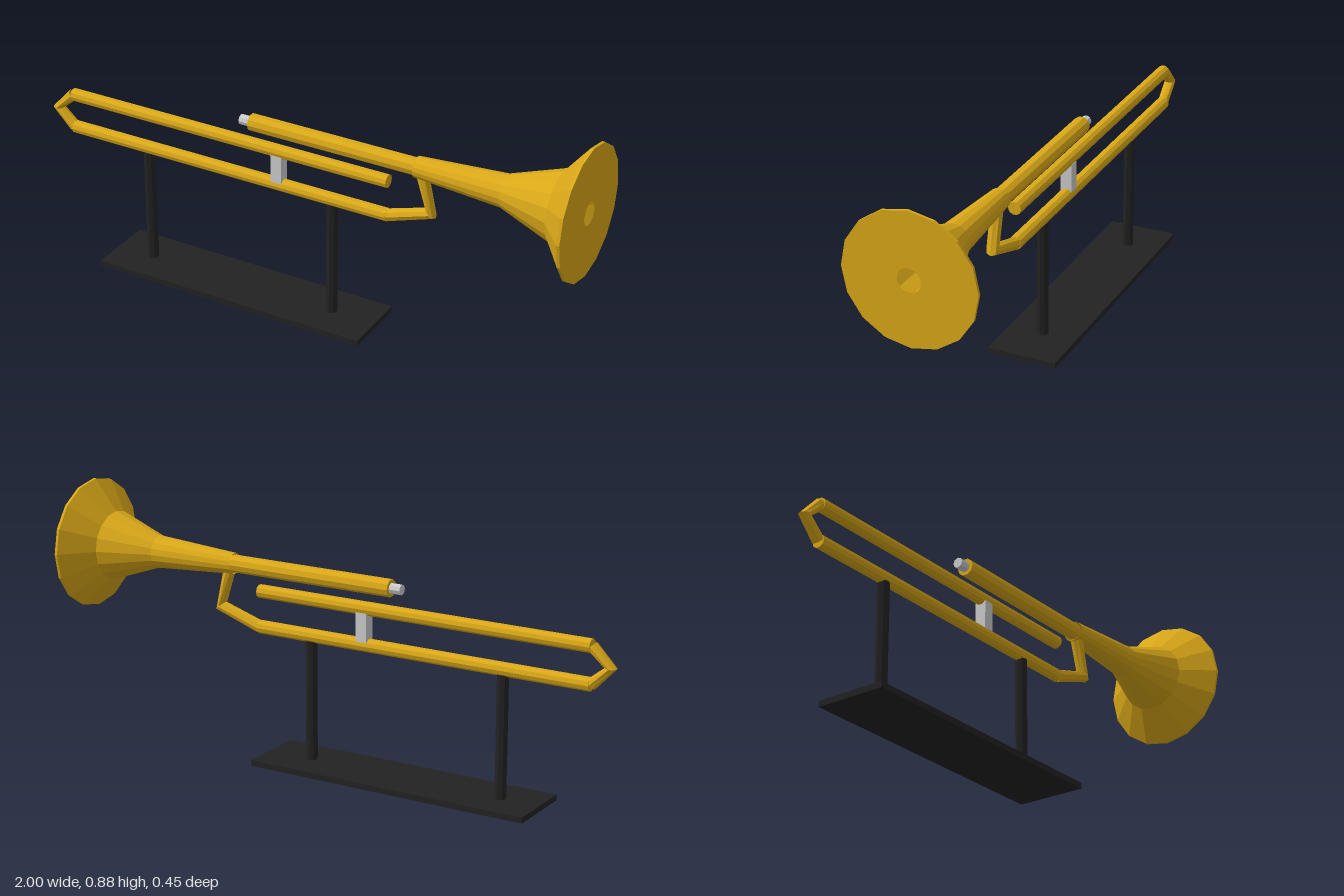
import * as THREE from 'three';

const material = (color, side = THREE.FrontSide) =>
  new THREE.MeshStandardMaterial({ color, flatShading: true, side });

export function createModel() {
  const model = new THREE.Group();
  const brass = material(0xdaa818);
  const openBrass = material(0xdaa818, THREE.DoubleSide);
  const silver = material(0xcccccc);
  const black = material(0x222222);

  function add(name, geometry, mat, x = 0, y = 0, z = 0) {
    const mesh = new THREE.Mesh(geometry, mat);
    mesh.name = name;
    mesh.position.set(x, y, z);
    model.add(mesh);
    return mesh;
  }

  // Straight tube lying along x
  function pipe(name, x0, x1, y, radius, sides, mat) {
    const geometry = new THREE.CylinderGeometry(radius, radius, x1 - x0, sides);
    add(name, geometry.rotateZ(-Math.PI / 2), mat, (x0 + x1) / 2, y);
  }

  // Angular bend through three points
  function bend(name, points, radius) {
    const curve = new THREE.CatmullRomCurve3(points.map(([x, y]) => new THREE.Vector3(x, y, 0)));
    add(name, new THREE.TubeGeometry(curve, 2, radius, 8), openBrass);
  }

  // Bell with a flat face and a round opening in its middle
  const profile = [
    [0.036, 0.41], [0.056, 0.72], [0.12, 0.905], [0.225, 0.99], [0.225, 1], [0.04, 1],
  ].map(([r, x]) => new THREE.Vector2(r, x));
  add('bell', new THREE.LatheGeometry(profile, 16).rotateZ(-Math.PI / 2), openBrass, 0, 0.657);

  // Tubing
  pipe('leadPipe', -0.2, 0.415, 0.657, 0.03, 10, brass);
  pipe('mouthpiece', -0.24, -0.2, 0.657, 0.018, 8, silver);
  pipe('upperSlide', -0.915, 0.31, 0.576, 0.023, 10, brass);
  pipe('lowerSlide', -0.915, 0.31, 0.452, 0.023, 10, brass);
  bend('slideBend', [[-0.915, 0.576], [-0.98, 0.514], [-0.915, 0.452]], 0.02);
  bend('bellBend', [[0.31, 0.452], [0.47, 0.51], [0.425, 0.657]], 0.022);

  // Brace between the two slide tubes
  add('brace', new THREE.BoxGeometry(0.04, 0.1, 0.04), silver, -0.098, 0.514);

  // Display stand
  add('standBase', new THREE.BoxGeometry(1.02, 0.02, 0.244), black, -0.24, 0.01);
  for (const x of [-0.61, 0.105]) {
    add('standPost', new THREE.CylinderGeometry(0.02, 0.02, 0.42, 8), black, x, 0.225);
  }

  return model;
}
